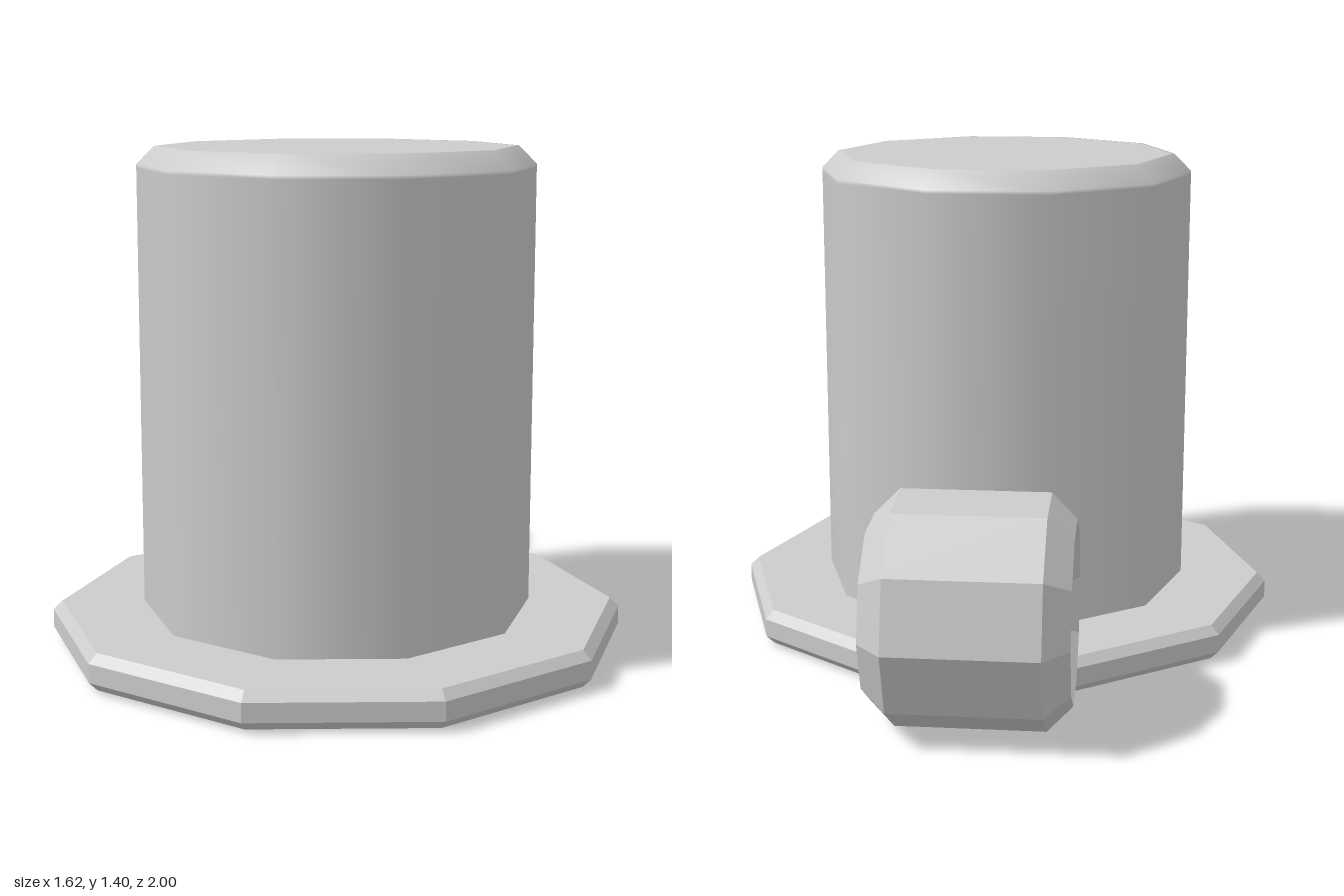
import * as THREE from 'three';

const SIDES = 10;
const CENTRE_Z = 0.225;

// Ten-sided turned part from [radius, height] pairs, listed bottom to top
function turned(name, profile, flatShading, phiStart) {
  const points = profile.map(([r, y]) => new THREE.Vector2(r, y));
  const geometry = new THREE.LatheGeometry(points, SIDES, phiStart);
  const material = new THREE.MeshStandardMaterial({ color: 0xcccccc, flatShading });
  const mesh = new THREE.Mesh(geometry, material);
  mesh.name = name;
  return mesh;
}

export function createModel() {
  const group = new THREE.Group();
  const corner = Math.PI / SIDES; // puts corners on the x axis

  // Wide base plate with chamfered rim
  const base = turned('basePlate', [
    [0, 0.008], [0.785, 0.008], [0.81, 0.033], [0.81, 0.085], [0.785, 0.11], [0, 0.11],
  ], true, corner);
  base.position.z = CENTRE_Z;

  // Tall smooth body with a softened top edge; extra points keep wall and top flat
  const body = turned('body', [
    [0, 0.05], [0.55, 0.05], [0.55, 0.06], [0.55, 1.34], [0.55, 1.35],
    [0.5, 1.4], [0.49, 1.4], [0, 1.4],
  ], false, corner);
  body.position.z = CENTRE_Z;

  // Faceted ring at the back, hexagonal in section, its hole running along x
  const ring = turned('backRing', [
    [0.175, -0.2], [0.243, -0.268], [0.311, -0.2],
    [0.311, 0.2], [0.243, 0.268], [0.175, 0.2], [0.175, -0.2],
  ], true, -0.05);
  ring.rotation.z = -Math.PI / 2;
  ring.position.set(0, 0.304, -0.69);

  group.add(base, body, ring);
  return group;
}
